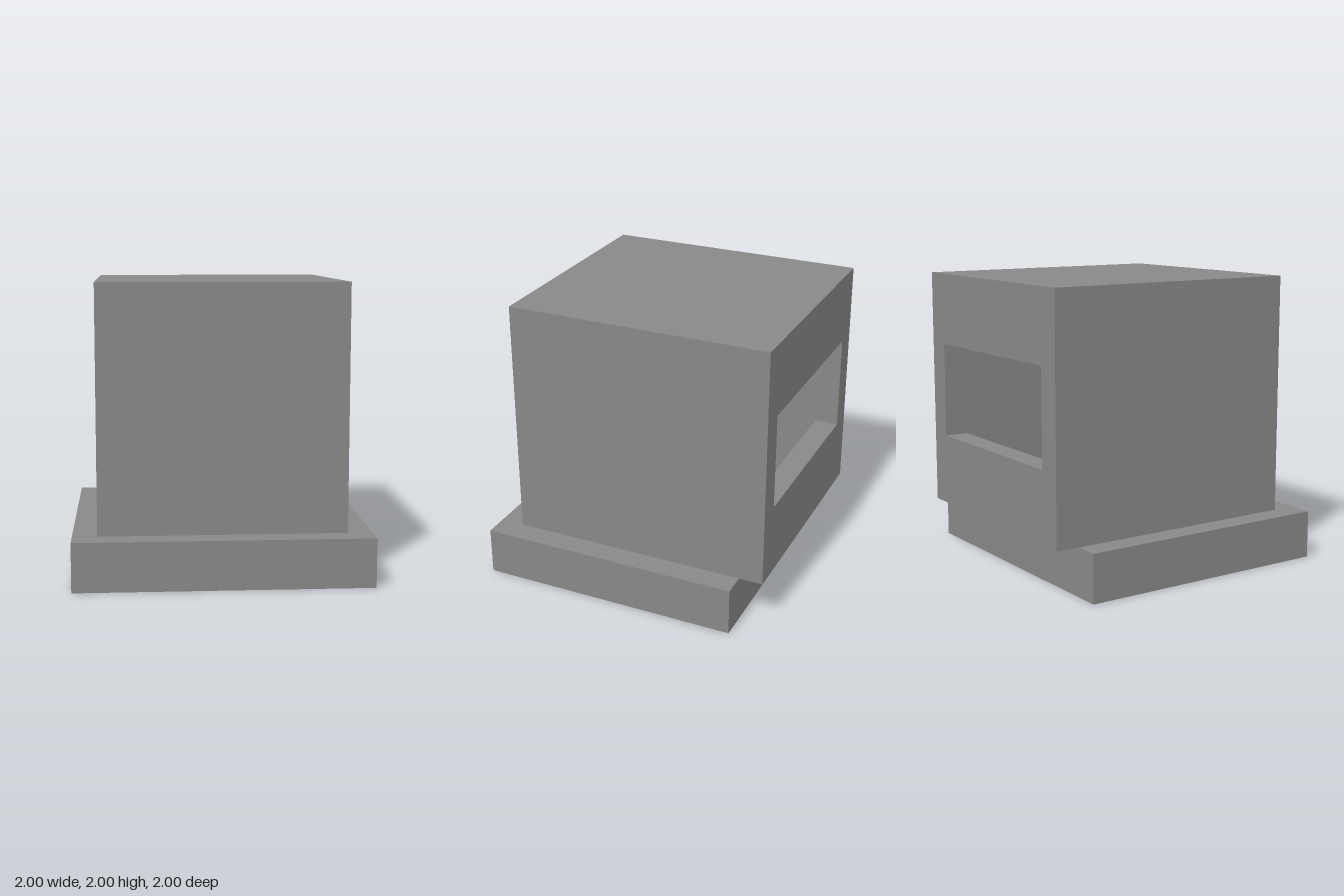
import * as THREE from 'three';

// one wall thickness is the module of the whole model
const T = 1 / 6;

function rect(PathType, x0, y0, x1, y1) {
  const p = new PathType();
  p.moveTo(x0, y0);
  p.lineTo(x1, y0);
  p.lineTo(x1, y1);
  p.lineTo(x0, y1);
  p.closePath();
  return p;
}

// rectangle extruded along +z, with an optional rectangular opening
function slab(outer, hole, depth) {
  const shape = rect(THREE.Shape, ...outer);
  if (hole) shape.holes.push(rect(THREE.Path, ...hole));
  return new THREE.ExtrudeGeometry(shape, { depth, bevelEnabled: false });
}

export function createModel() {
  const grey = new THREE.MeshStandardMaterial({ color: 0x888888 });
  grey.name = 'grey';

  const model = new THREE.Group();
  model.name = 'hollowHousing';
  const add = (name, geometry) => {
    const mesh = new THREE.Mesh(geometry, grey);
    mesh.name = name;
    model.add(mesh);
  };

  // base plinth, open through the middle (drawn in plan, turned flat)
  const base = slab([-6 * T, -6 * T, 6 * T, 5 * T], [-4 * T, -4 * T, 4 * T, 4 * T], 2 * T);
  base.rotateX(-Math.PI / 2);
  add('basePlinth', base);

  // side walls and roof as one arch, open underneath
  const arch = new THREE.Shape();
  [[-5, 2], [-4, 2], [-4, 11], [4, 11], [4, 2], [5, 2], [5, 12], [-5, 12]].forEach(([x, y], i) =>
    i ? arch.lineTo(x * T, y * T) : arch.moveTo(x * T, y * T));
  arch.closePath();
  const shell = new THREE.ExtrudeGeometry(arch, { depth: 9 * T, bevelEnabled: false });
  shell.translate(0, 0, -5 * T);
  add('sideWallsAndRoof', shell);

  // closed front wall
  const front = slab([-5 * T, 2 * T, 5 * T, 12 * T], null, T);
  front.translate(0, 0, 4 * T);
  add('frontWall', front);

  // back wall with its wide window opening
  const back = slab([-5 * T, 2 * T, 5 * T, 12 * T], [-4 * T, 5 * T, 4 * T, 9 * T], T);
  back.translate(0, 0, -6 * T);
  add('backWall', back);

  return model;
}
